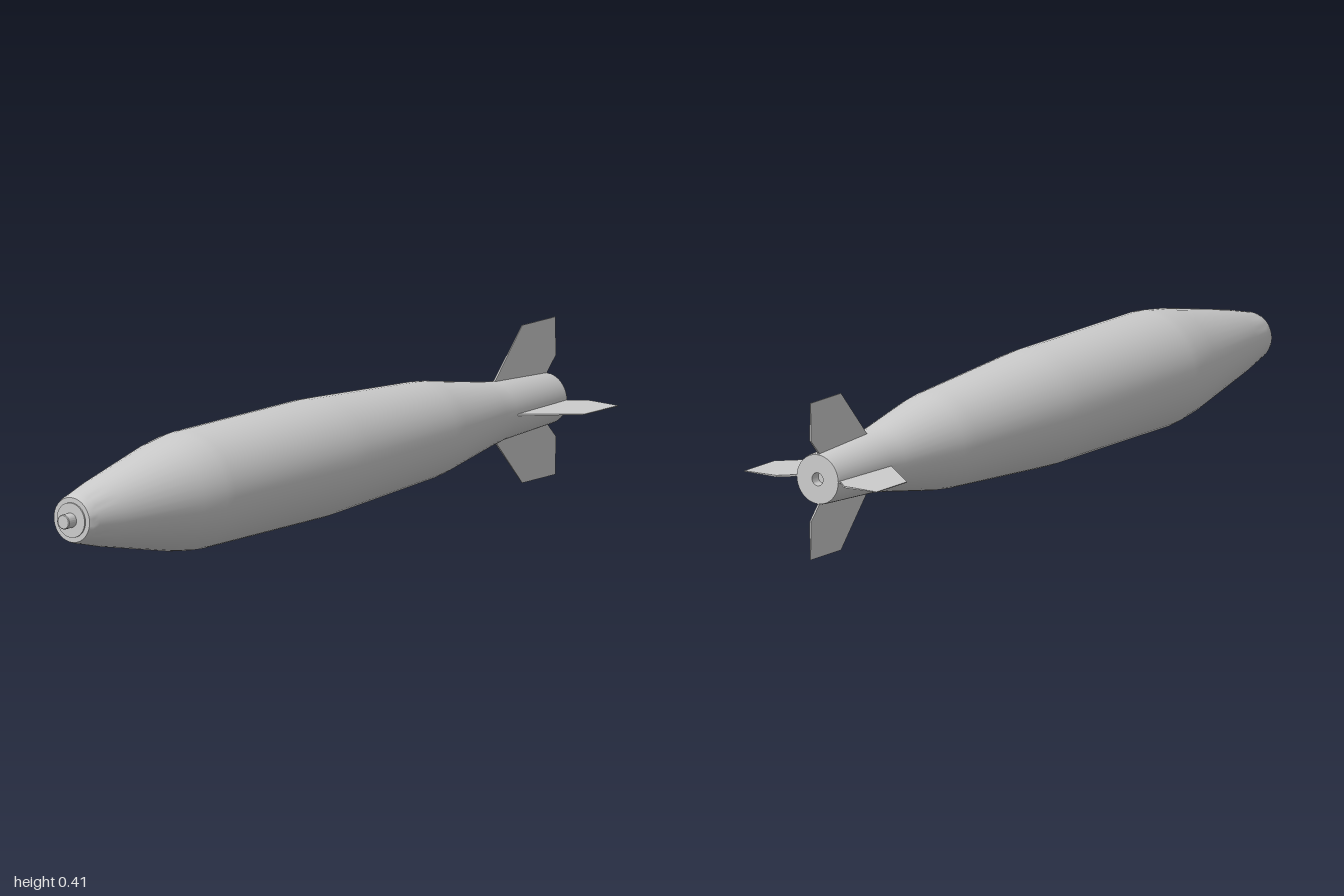
import * as THREE from 'three';
import { toCreasedNormals } from 'three/addons/utils/BufferGeometryUtils.js';

const AXIS_Y = 0.204;
const material = new THREE.MeshStandardMaterial({ color: 0xcccccc });

// Solid of revolution along z from [radius, z] pairs, listed tail to nose
function turned(name, profile, sides) {
  const points = profile.map(([r, z]) => new THREE.Vector2(r, z));
  const geometry = new THREE.LatheGeometry(points, sides).rotateX(Math.PI / 2);
  const mesh = new THREE.Mesh(toCreasedNormals(geometry, 0.5), material);
  mesh.name = name;
  return mesh;
}

// Thin fin standing up from the axis, thicker at the root than at the tip
function finGeometry() {
  const outline = [[-0.728, 0.05], [-0.965, 0.05], [-0.965, 0.068], [-1, 0.105], [-1, 0.204], [-0.865, 0.204]];
  const shape = new THREE.Shape(outline.map(([z, r]) => new THREE.Vector2(z, r)));
  const geometry = new THREE.ExtrudeGeometry(shape, { depth: 1, bevelEnabled: false });
  geometry.translate(0, 0, -0.5).rotateY(-Math.PI / 2);
  const p = geometry.attributes.position;
  for (let i = 0; i < p.count; i++) {
    const thickness = THREE.MathUtils.mapLinear(p.getY(i), 0.05, 0.204, 0.006, 0.002);
    p.setX(i, p.getX(i) * thickness);
  }
  geometry.computeVertexNormals();
  return geometry;
}

export function createModel() {
  const model = new THREE.Group();
  model.name = 'finnedShell';
  const assembly = new THREE.Group();
  assembly.name = 'assembly';
  assembly.position.y = AXIS_Y;
  model.add(assembly);

  // Body with a recessed hole in the flat tail and a rounded nose rim
  assembly.add(turned('body', [
    [0, -0.94], [0.017, -0.94], [0.017, -0.968], [0.064, -0.968], [0.066, -0.96],
    [0.077, -0.75], [0.084, -0.7], [0.121, -0.49], [0.127, -0.44], [0.15, -0.06],
    [0.153, 0], [0.153, 0.49], [0.151, 0.52], [0.14, 0.6], [0.086, 0.86],
    [0.067, 0.935], [0.063, 0.953], [0.058, 0.965], [0, 0.965],
  ], 40));

  // Nose plate and fuse pin
  assembly.add(turned('nosePlate', [[0.045, 0.96], [0.045, 0.969], [0, 0.969]], 40));
  assembly.add(turned('fusePin', [[0.019, 0.96], [0.019, 0.998], [0.017, 1], [0, 1]], 24));

  // Four tail fins
  const fin = finGeometry();
  for (let i = 0; i < 4; i++) {
    const mesh = new THREE.Mesh(fin, material);
    mesh.name = 'tailFin' + (i + 1);
    mesh.rotation.z = (i * Math.PI) / 2;
    assembly.add(mesh);
  }
  return model;
}
